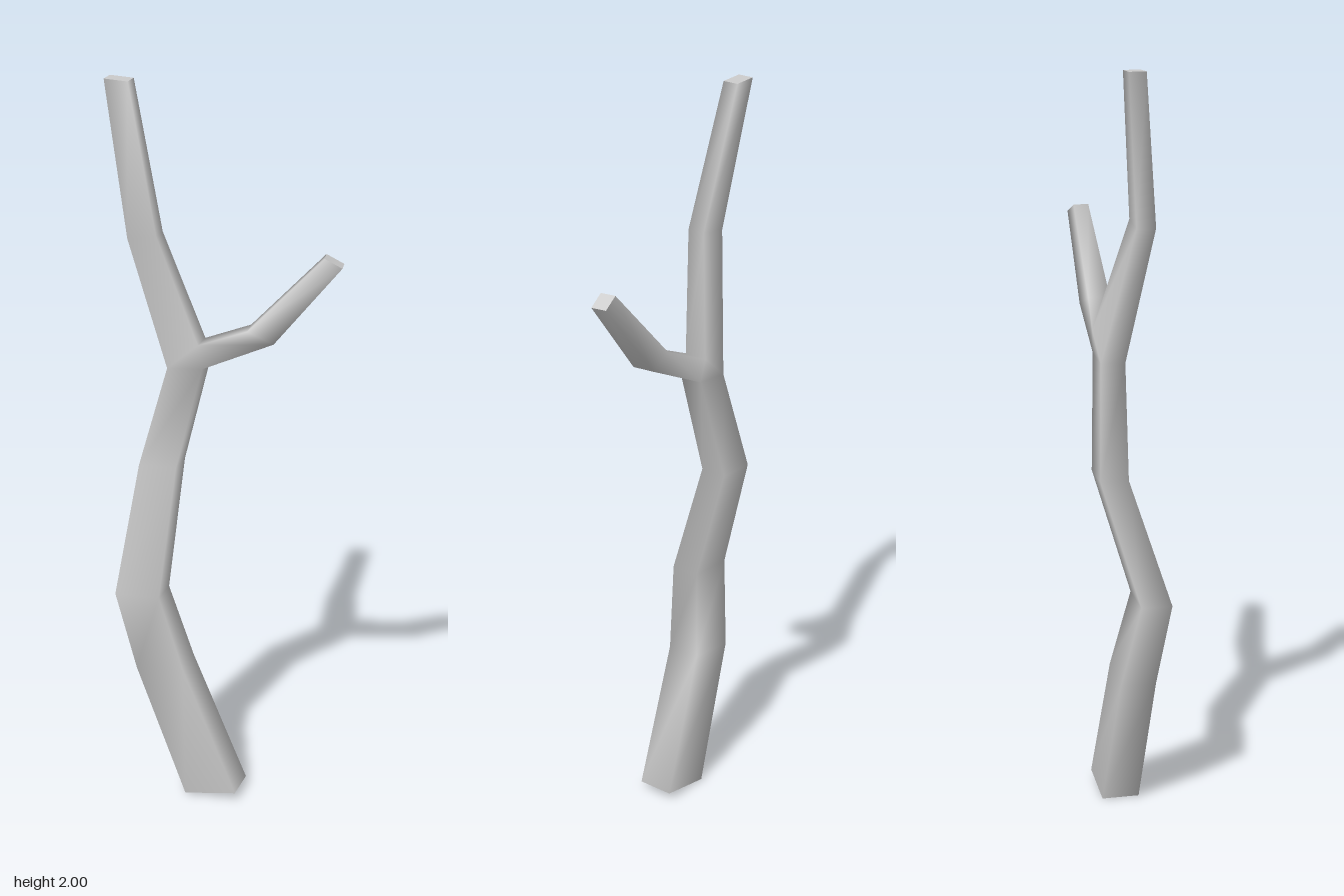
import * as THREE from 'three';

// Four corners (front left, front right, back right, back left) of a slightly twisted, tilted section.
// l and r are the [x, y] of its left and right sides, z its centre, d its half depth.
function section(l, r, z, d, twist = 0.12) {
  const w = (r[0] - l[0]) / 2;
  const corner = ([x, y], sx, sz) => new THREE.Vector3(x - sz * d * twist, y, z + sz * d + sx * w * twist);
  return [corner(l, -1, 1), corner(r, 1, 1), corner(r, 1, -1), corner(l, -1, -1)];
}

function indexedGeometry(points, faces) {
  const geometry = new THREE.BufferGeometry().setFromPoints(points);
  geometry.setIndex(faces);
  geometry.computeVertexNormals();
  return geometry;
}

export function createModel() {
  const group = new THREE.Group();
  group.name = 'branchingTree';
  const material = new THREE.MeshStandardMaterial({ color: 0xcccccc });

  // Trunk, from the ground to the fork
  const trunk = [
    section([-0.094, 0.003], [0.05, 0.027], 0.018, 0.05),
    section([-0.229, 0.38], [-0.097, 0.395], 0.018, 0.047),
    section([-0.28, 0.61], [-0.156, 0.615], 0.049, 0.041),
    section([-0.235, 0.948], [-0.131, 0.952], -0.053, 0.037),
    section([-0.151, 1.237], [-0.055, 1.245], -0.028, 0.032),
  ];
  const [leftFront, rightFront, rightBack, leftBack] = trunk[4];

  // Crotch edge that the two limbs share
  const crotchFront = new THREE.Vector3(-0.071, 1.308, 0.004);
  const crotchBack = new THREE.Vector3(-0.064, 1.308, -0.06);

  // Upper trunk
  const upper = [
    [leftFront, crotchFront, crotchBack, leftBack],
    section([-0.242, 1.6], [-0.164, 1.612], 0.026, 0.025),
    section([-0.31, 2], [-0.246, 1.997], -0.024, 0.022),
  ];

  // Side branch; its left and right sides are its upper and lower edges
  const side = [
    [crotchFront, rightFront, rightBack, crotchBack],
    section([0.065, 1.365], [0.135, 1.335], 0.004, 0.03, 0),
    section([0.265, 1.577], [0.311, 1.553], 0.022, 0.021, -0.04),
  ];

  // One continuous smooth skin over all limbs
  const points = [];
  const faces = [];
  const id = (p) => {
    if (!points.includes(p)) points.push(p);
    return points.indexOf(p);
  };
  const addTriangle = (...corners) => faces.push(...corners.map(id));
  for (const limb of [trunk, upper, side]) {
    for (let i = 0; i < limb.length - 1; i++) {
      for (let j = 0; j < 4; j++) {
        const k = (j + 1) % 4;
        addTriangle(limb[i][j], limb[i][k], limb[i + 1][k]);
        addTriangle(limb[i][j], limb[i + 1][k], limb[i + 1][j]);
      }
    }
  }
  addTriangle(leftFront, rightFront, crotchFront);
  addTriangle(rightBack, leftBack, crotchBack);
  const bark = new THREE.Mesh(indexedGeometry(points, faces), material);
  bark.name = 'trunkAndBranches';
  group.add(bark);

  // Flat cut ends
  const ends = {
    trunkBase: [...trunk[0]].reverse(),
    trunkTip: upper[2],
    branchTip: side[2],
  };
  for (const [name, corners] of Object.entries(ends)) {
    const cap = new THREE.Mesh(indexedGeometry(corners, [0, 1, 2, 0, 2, 3]), material);
    cap.name = name;
    group.add(cap);
  }
  return group;
}
